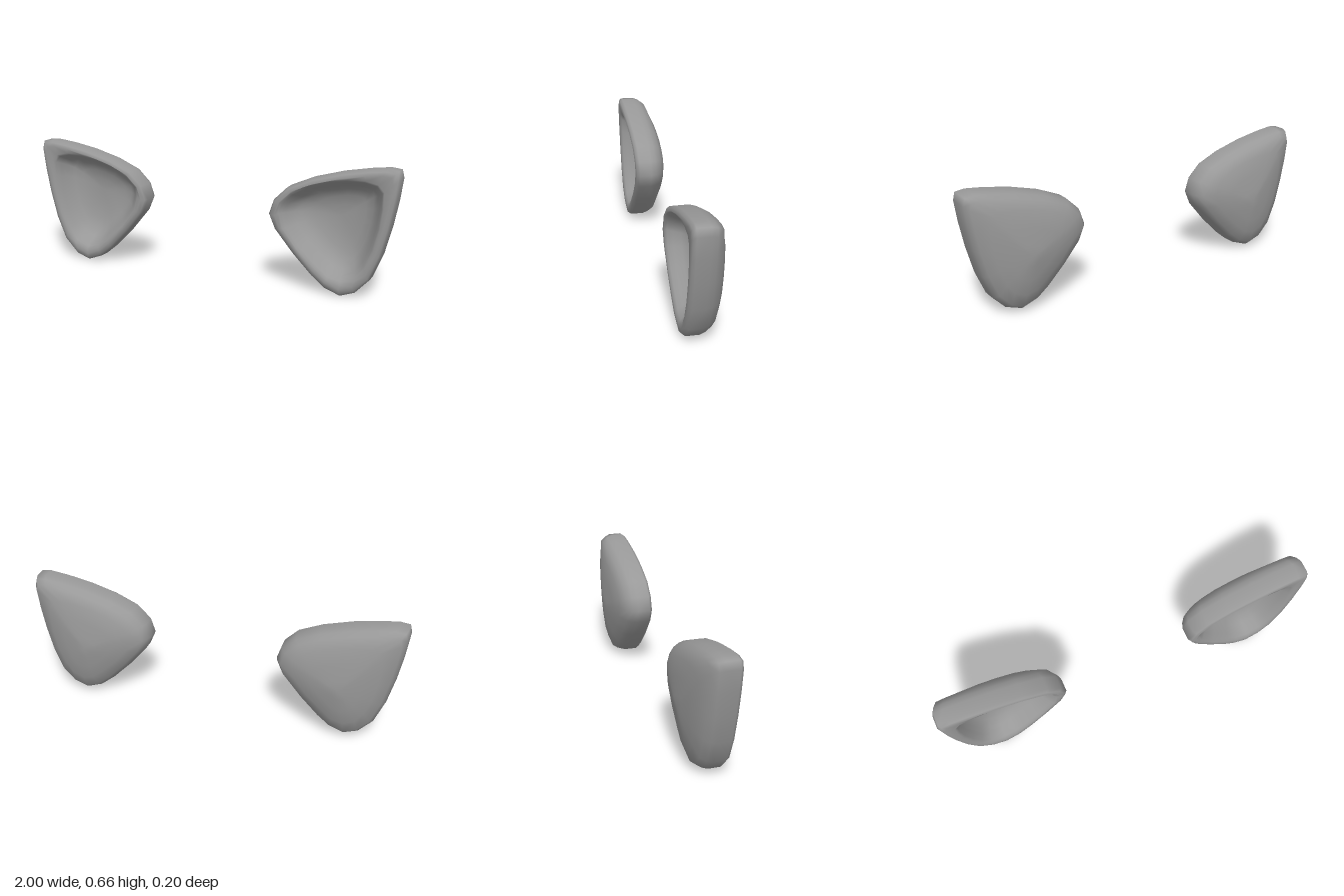
import * as THREE from 'three';

// Rounded triangular outline of the left ear, clockwise as seen from the front
const OUTER = [
  [0.345, 0.38], [0.37, 0.455], [0.44, 0.524], [0.564, 0.578], [0.714, 0.62],
  [0.85, 0.645], [0.94, 0.656], [0.99, 0.65], [1.0, 0.61], [0.985, 0.5],
  [0.96, 0.37], [0.922, 0.225], [0.87, 0.1], [0.8, 0.027], [0.725, 0],
  [0.644, 0.03], [0.575, 0.086], [0.473, 0.19], [0.377, 0.305],
];

// Softer outline, used for the hollow and the bulge of the back
const INNER = [
  [0.42, 0.39], [0.425, 0.44], [0.475, 0.487], [0.548, 0.53], [0.645, 0.56],
  [0.74, 0.578], [0.826, 0.58], [0.885, 0.567], [0.912, 0.535], [0.912, 0.46],
  [0.9, 0.364], [0.874, 0.26], [0.837, 0.172], [0.794, 0.11], [0.725, 0.08],
  [0.66, 0.097], [0.602, 0.145], [0.51, 0.23], [0.441, 0.318],
];

// Scaling centres [x, y] of the back bulge, the rim and the hollow
const BACK = [0.69, 0.31];
const RIM = [0.69, 0.36];
const HOLLOW = [0.69, 0.38];

// Cross-sections: [outline, centre, scale, z], from the back over the rim into the hollow
const SECTIONS = [
  [[BACK], BACK, 1, -0.1], [INNER, BACK, 0.22, -0.099], [INNER, BACK, 0.56, -0.087],
  [INNER, BACK, 0.9, -0.072], [OUTER, RIM, 0.905, -0.045], [OUTER, RIM, 0.97, -0.014],
  [OUTER, RIM, 1, 0.015], [OUTER, RIM, 1, 0.08], [OUTER, RIM, 0.965, 0.095],
  [OUTER, RIM, 0.9, 0.1],
  [INNER, HOLLOW, 1.07, 0.097], [INNER, HOLLOW, 1.02, 0.086], [INNER, HOLLOW, 0.95, 0.062],
  [INNER, HOLLOW, 0.86, 0.027], [INNER, HOLLOW, 0.74, -0.002], [INNER, HOLLOW, 0.55, -0.022],
  [INNER, HOLLOW, 0.3, -0.033], [[HOLLOW], HOLLOW, 1, -0.037],
];

// Loft through all sections; side = -1 mirrors the ear
function earGeometry(side) {
  const n = OUTER.length;
  const positions = [];
  const index = [];
  const start = [];
  for (const [outline, [cx, cy], scale, z] of SECTIONS) {
    start.push(positions.length / 3);
    for (const [x, y] of outline) {
      positions.push(side * (cx + (x - cx) * scale), cy + (y - cy) * scale, z);
    }
  }
  const at = (i, j) => start[i] + (j % SECTIONS[i][0].length);
  const triangle = (a, b, c) => {
    if (a === b || b === c || a === c) return;
    index.push(...(side > 0 ? [a, b, c] : [a, c, b]));
  };
  for (let i = 0; i < SECTIONS.length - 1; i++) {
    for (let j = 0; j < n; j++) {
      const a = at(i, j), b = at(i, j + 1), c = at(i + 1, j + 1), d = at(i + 1, j);
      triangle(a, d, c);
      triangle(a, c, b);
    }
  }
  const geometry = new THREE.BufferGeometry();
  geometry.setAttribute('position', new THREE.Float32BufferAttribute(positions, 3));
  geometry.setIndex(index);
  geometry.computeVertexNormals();
  return geometry;
}

export function createModel() {
  const model = new THREE.Group();
  model.name = 'ears';
  const material = new THREE.MeshStandardMaterial({ color: 0x999999 });
  for (const [name, side] of [['leftEar', 1], ['rightEar', -1]]) {
    const ear = new THREE.Mesh(earGeometry(side), material);
    ear.name = name;
    model.add(ear);
  }
  return model;
}
